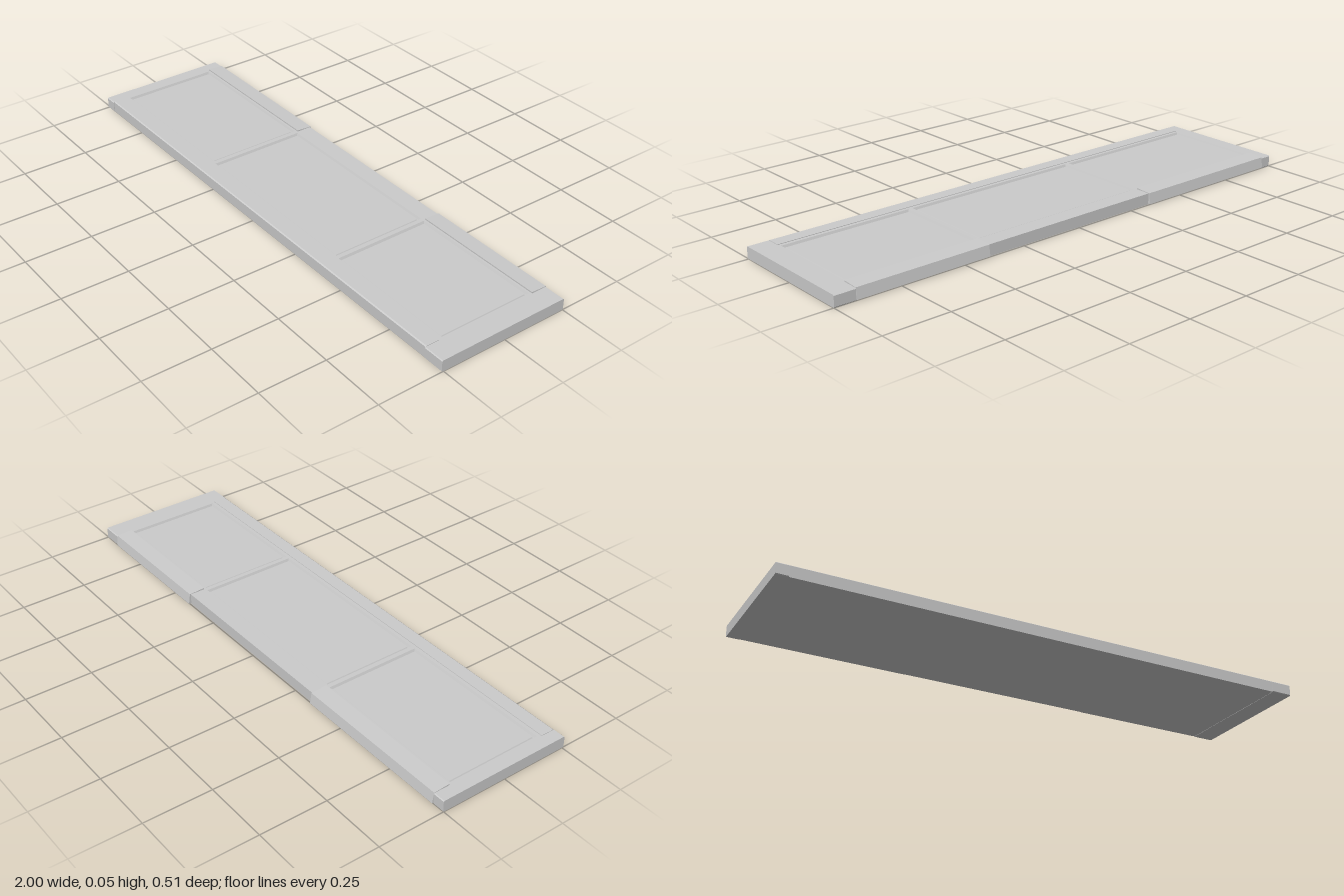
import * as THREE from 'three';

const mat = new THREE.MeshStandardMaterial({ color: 0xcccccc, flatShading: true });

function add(group, name, geometry, x = 0, y = 0, z = 0) {
  const mesh = new THREE.Mesh(geometry, mat);
  mesh.name = name;
  mesh.position.set(x, y, z);
  group.add(mesh);
  return mesh;
}

// Box given by its limits on each axis
function box(group, name, x0, x1, y0, y1, z0, z1) {
  return add(group, name, new THREE.BoxGeometry(x1 - x0, y1 - y0, z1 - z0),
    (x0 + x1) / 2, (y0 + y1) / 2, (z0 + z1) / 2);
}

// Prism along x from a [z, y] profile
function prism(group, name, x0, x1, profile) {
  const shape = new THREE.Shape(profile.map(([z, y]) => new THREE.Vector2(-z, y)));
  const geo = new THREE.ExtrudeGeometry(shape, { depth: x1 - x0, bevelEnabled: false });
  geo.rotateY(Math.PI / 2);
  return add(group, name, geo, x0);
}

// Sloped moulding running around a panel opening, made of four-sided rings
function moulding(group, x0, x1, z0, z1) {
  const steps = [[0, 0.043], [0.004, 0.034], [0.009, 0.034], [0.011, 0.038]];
  const pos = [], index = [];
  for (const [inset, y] of steps) {
    pos.push(x0 + inset, y, z0 + inset, x1 - inset, y, z0 + inset,
      x1 - inset, y, z1 - inset, x0 + inset, y, z1 - inset);
  }
  for (let r = 0; r < steps.length - 1; r++) {
    for (let i = 0; i < 4; i++) {
      const a = r * 4 + i, b = r * 4 + (i + 1) % 4;
      index.push(a, a + 4, b, b, a + 4, b + 4);
    }
  }
  const geo = new THREE.BufferGeometry();
  geo.setAttribute('position', new THREE.Float32BufferAttribute(pos, 3));
  geo.setIndex(index);
  geo.computeVertexNormals();
  add(group, 'panelMoulding', geo);
}

export function createModel() {
  const model = new THREE.Group();
  model.name = 'panelledBoard';
  const left = -0.955, right = 0.92;
  const panelZ = [-0.183, 0.187];
  const panels = [[-0.947, -0.35], [-0.333, 0.387], [0.403, 0.914]];

  // Solid core under the panels
  box(model, 'core', left, right, 0.001, 0.032, -0.247, 0.25);

  // Frame with three openings
  const frame = new THREE.Shape([
    new THREE.Vector2(left, -0.25), new THREE.Vector2(right, -0.25),
    new THREE.Vector2(right, 0.247), new THREE.Vector2(left, 0.247)]);
  for (const [a, b] of panels) {
    frame.holes.push(new THREE.Path([
      new THREE.Vector2(a, -panelZ[1]), new THREE.Vector2(a, -panelZ[0]),
      new THREE.Vector2(b, -panelZ[0]), new THREE.Vector2(b, -panelZ[1])]));
  }
  const frameGeo = new THREE.ExtrudeGeometry(frame, { depth: 0.011, bevelEnabled: false });
  frameGeo.rotateX(-Math.PI / 2);
  add(model, 'frame', frameGeo, 0, 0.032, 0);

  // Inset panels with grooved edges
  for (const [a, b] of panels) {
    moulding(model, a, b, ...panelZ);
    box(model, 'panel', a + 0.011, b - 0.011, 0.03, 0.038, panelZ[0] + 0.011, panelZ[1] - 0.011);
  }

  // Front rail with eased top edge
  prism(model, 'frontRail', left, right,
    [[0.2, 0.03], [0.2, 0.045], [0.25, 0.045], [0.254, 0.042], [0.254, 0.001], [0.2, 0.001]]);

  // Slightly tilted rails along the back, left open in the middle
  for (const [a, b] of [[left, -0.34], [0.4, right]]) {
    prism(model, 'backRail', a, b,
      [[-0.19, 0.04], [-0.19, 0.048], [-0.251, 0.0445], [-0.257, 0.005], [-0.245, 0.004]]);
  }

  // End caps with chamfered edges
  const c = 0.003;
  for (const [a, b] of [[-1, left], [right, 1]]) {
    prism(model, 'endCap', a, b, [
      [-0.252 + c, 0], [-0.252, c], [-0.252, 0.043 - c], [-0.252 + c, 0.043],
      [0.257 - c, 0.043], [0.257, 0.043 - c], [0.257, c], [0.257 - c, 0]]);
  }
  return model;
}
